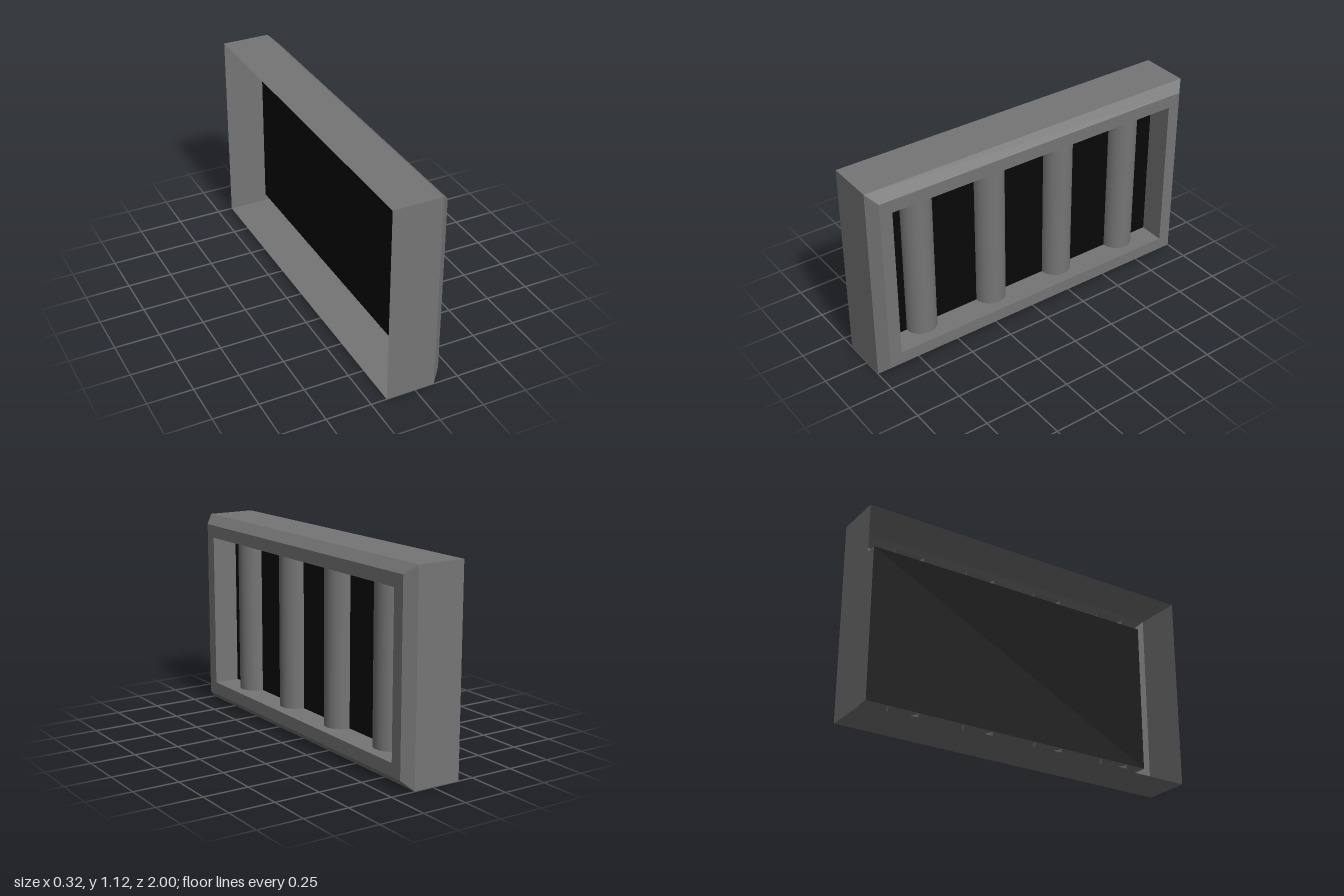
import * as THREE from 'three';

const HEIGHT = 1.116, MID = HEIGHT / 2;

// Rectangular rings [x, half depth in z, half height], joined into a mitred surface
function frameGeometry(rings) {
  const signs = [[1, 1], [-1, 1], [-1, -1], [1, -1]];
  const at = (r, k) => {
    const [x, hz, hy] = rings[r];
    const [sz, sy] = signs[k % 4];
    return [x, MID + sy * hy, sz * hz];
  };
  const pos = [];
  for (let r = 0; r < rings.length - 1; r++) {
    for (let k = 0; k < 4; k++) {
      const a = at(r, k), b = at(r, k + 1), c = at(r + 1, k + 1), d = at(r + 1, k);
      pos.push(...a, ...c, ...b, ...a, ...d, ...c);
    }
  }
  const g = new THREE.BufferGeometry();
  g.setAttribute('position', new THREE.Float32BufferAttribute(pos, 3));
  g.computeVertexNormals();
  return g;
}

export function createModel() {
  const group = new THREE.Group();
  const grey = new THREE.MeshStandardMaterial({ color: 0x757575, side: THREE.DoubleSide });
  const black = new THREE.MeshStandardMaterial({ color: 0x080808, side: THREE.DoubleSide });
  const panelX = 0.016, openZ = 0.88, openY = 0.437;

  // Thin shell, open at the back: outer walls, bevel, face and recess walls
  const frame = new THREE.Mesh(frameGeometry([
    [-0.162, 1, MID],
    [0.11, 1, MID],
    [0.162, 0.95, MID - 0.05],
    [0.162, openZ, openY],
    [panelX, openZ, openY],
  ]), grey);
  frame.name = 'frame';
  group.add(frame);

  // Dark panel closing the recess
  const panel = new THREE.Mesh(new THREE.PlaneGeometry(openZ * 2, openY * 2).rotateY(Math.PI / 2), black);
  panel.name = 'darkPanel';
  panel.position.set(panelX, MID, 0);
  group.add(panel);

  // Half-round bars against the panel, running slightly into the frame
  const barGeo = new THREE.CylinderGeometry(0.088, 0.088, openY * 2 + 0.05, 16, 1, false, 0, Math.PI);
  for (let i = 0; i < 4; i++) {
    const bar = new THREE.Mesh(barGeo, grey);
    bar.name = `bar${i + 1}`;
    bar.position.set(panelX, MID, 0.671 - 0.4457 * i);
    group.add(bar);
  }
  return group;
}
